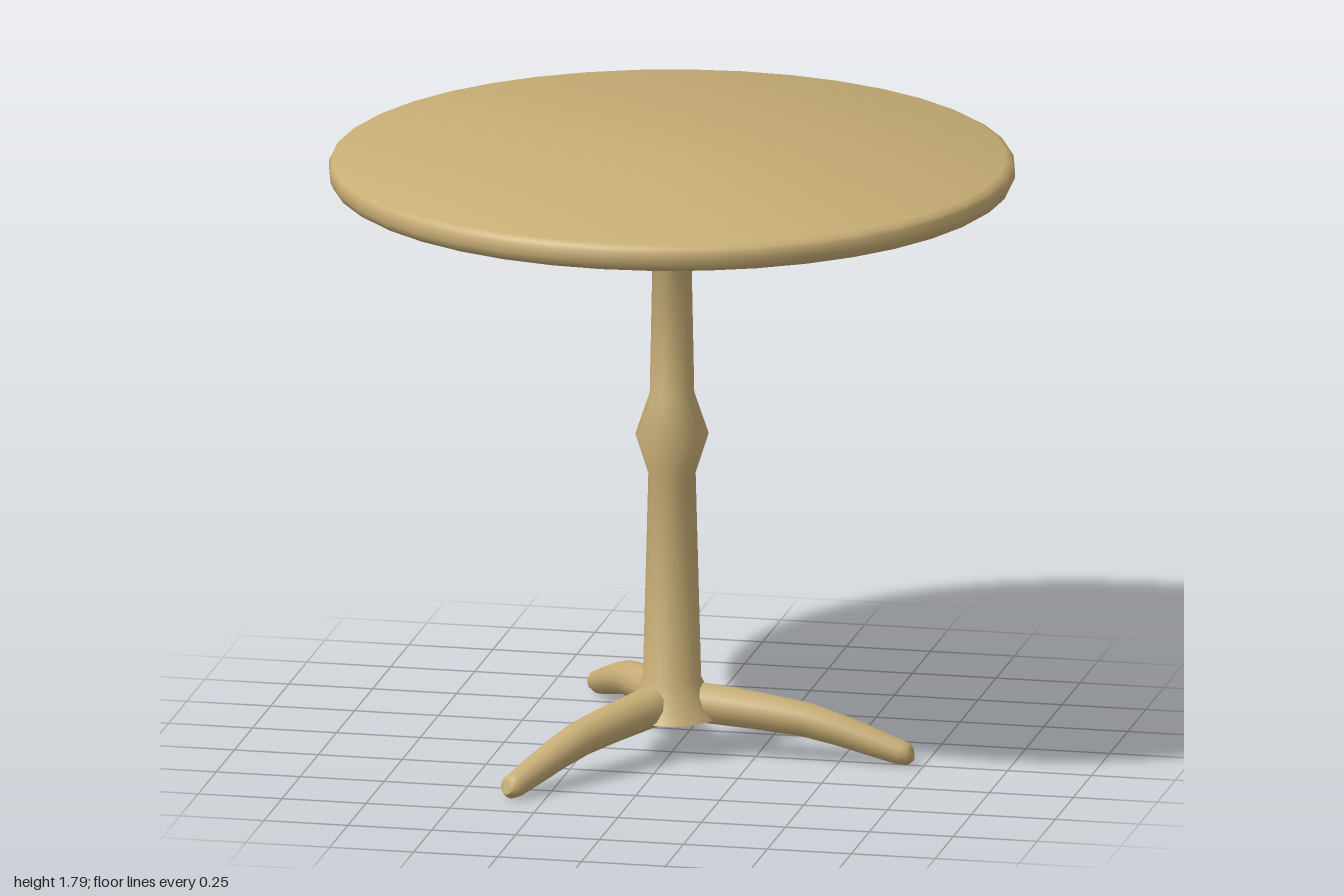
import * as THREE from 'three';
import { toCreasedNormals } from 'three/addons/utils/BufferGeometryUtils.js';

const wood = new THREE.MeshStandardMaterial({ color: 0xc8ae76 });
const dark = new THREE.MeshStandardMaterial({ color: 0x3a3a3a });

// Turned shape from [radius, height] pairs, listed bottom to top
function turned(name, profile, sides, crease) {
  const points = profile.map(([r, y]) => new THREE.Vector2(r, y));
  const geometry = toCreasedNormals(new THREE.LatheGeometry(points, sides, Math.PI / 2), crease);
  const mesh = new THREE.Mesh(geometry, wood);
  mesh.name = name;
  return mesh;
}

// Round tapered leg running along +x; each station is [x, y, radius]
function legGeometry(stations, sides) {
  const positions = [], index = [];
  stations.forEach(([x, y, r], i) => {
    const a = stations[Math.max(i - 1, 0)];
    const b = stations[Math.min(i + 1, stations.length - 1)];
    const slope = Math.atan2(b[1] - a[1], b[0] - a[0]);
    for (let j = 0; j < sides; j++) {
      const t = (j / sides) * Math.PI * 2;
      const up = r * Math.cos(t);
      positions.push(x - up * Math.sin(slope), y + up * Math.cos(slope), r * Math.sin(t));
      if (i === 0) continue;
      const k = (j + 1) % sides, p = (i - 1) * sides, q = i * sides;
      index.push(p + j, p + k, q + j, q + j, p + k, q + k);
    }
  });
  // Close both ends
  const last = (stations.length - 1) * sides;
  for (let j = 1; j < sides - 1; j++) {
    index.push(0, j + 1, j, last, last + j, last + j + 1);
  }
  const geometry = new THREE.BufferGeometry();
  geometry.setAttribute('position', new THREE.Float32BufferAttribute(positions, 3));
  geometry.setIndex(index);
  return toCreasedNormals(geometry, 0.9);
}

export function createModel() {
  const table = new THREE.Group();
  table.name = 'pedestalTable';

  // Round top with a softened rim
  table.add(turned('tableTop', [
    [0.975, 1.717], [0.99, 1.726], [1, 1.747], [1, 1.775], [0.993, 1.787], [0.975, 1.797], [0, 1.797],
  ], 40, 0.95));

  // Dark flat underside
  const underside = new THREE.Mesh(new THREE.CircleGeometry(0.975, 40), dark);
  underside.name = 'underside';
  underside.rotation.x = Math.PI / 2;
  underside.position.y = 1.717;
  table.add(underside);

  // Column with flared foot, central swelling and flared head
  table.add(turned('column', [
    [0, 0.115], [0.14, 0.115], [0.085, 0.23], [0.069, 0.845], [0.107, 0.963],
    [0.065, 1.087], [0.055, 1.597], [0.14, 1.687], [0, 1.713],
  ], 24, 1.2));

  // Three splayed legs
  const geometry = legGeometry([
    [0.01, 0.16, 0.06], [0.1, 0.155, 0.06], [0.26, 0.14, 0.056], [0.4, 0.122, 0.052],
    [0.5, 0.096, 0.047], [0.6, 0.065, 0.042], [0.68, 0.039, 0.037], [0.705, 0.035, 0.033],
    [0.718, 0.037, 0.02],
  ], 12);
  for (let i = 0; i < 3; i++) {
    const leg = new THREE.Mesh(geometry, wood);
    leg.name = `leg${i + 1}`;
    leg.rotation.y = (i * Math.PI * 2) / 3;
    table.add(leg);
  }
  return table;
}
